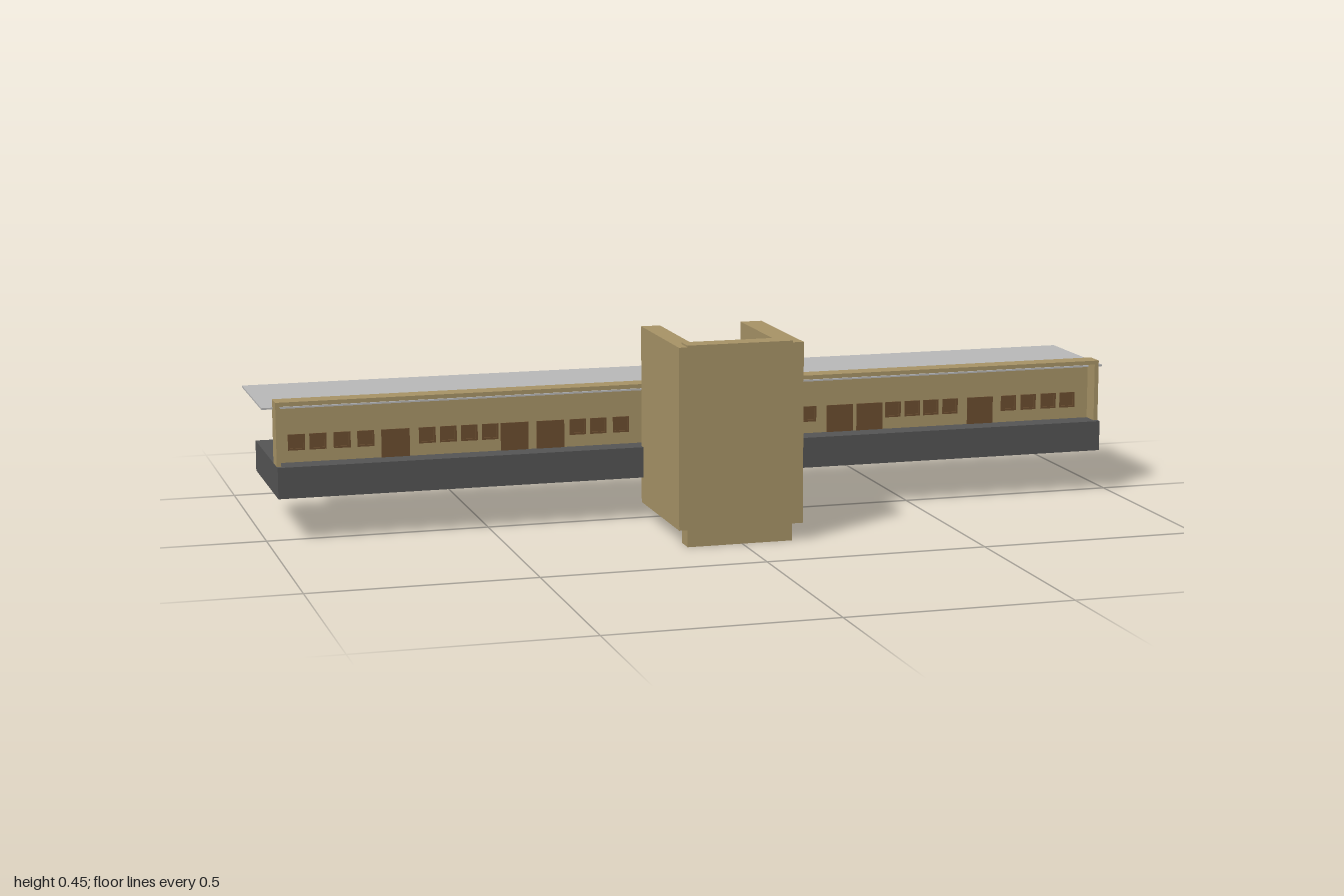
import * as THREE from 'three';

const mat = (name, color) => {
  const m = new THREE.MeshStandardMaterial({ color });
  m.name = name;
  return m;
};

export function createModel() {
  const tan = mat('tan wall', 0xa89467);
  const dark = mat('dark grey concrete', 0x555555);
  const light = mat('light grey roof', 0xbababa);
  const brown = mat('brown wood', 0x6b4e30);

  const model = new THREE.Group();
  model.name = 'stationBuilding';

  // Box given by its min and max corners
  const box = (parent, name, m, x0, x1, y0, y1, z0, z1) => {
    const mesh = new THREE.Mesh(new THREE.BoxGeometry(x1 - x0, y1 - y0, z1 - z0), m);
    mesh.position.set((x0 + x1) / 2, (y0 + y1) / 2, (z0 + z1) / 2);
    mesh.name = name;
    parent.add(mesh);
    return mesh;
  };
  const trace = (path, x0, x1, y0, y1) => {
    path.moveTo(x0, y0);
    path.lineTo(x1, y0);
    path.lineTo(x1, y1);
    path.lineTo(x0, y1);
    path.closePath();
    return path;
  };
  const slab = (parent, name, m, shape, z0, z1) => {
    const mesh = new THREE.Mesh(new THREE.ExtrudeGeometry(shape, { depth: z1 - z0, bevelEnabled: false }), m);
    mesh.position.z = z0;
    mesh.name = name;
    parent.add(mesh);
  };

  // Platform, entrance step block and roof
  box(model, 'platform', dark, -0.975, 0.975, 0.098, 0.168, -0.302, 0.025);
  box(model, 'entranceBlock', dark, -0.1, 0.09, 0.027, 0.098, -0.037, 0.103);
  box(model, 'platformRoof', light, -1, 1, 0.29, 0.294, -0.32, -0.025);
  box(model, 'entranceRoof', light, -0.1, 0.09, 0.29, 0.294, -0.025, 0.04);

  // Entrance tower, open at the top, bottom and back
  const tower = new THREE.Group();
  tower.name = 'entranceTower';
  model.add(tower);
  box(tower, 'towerLeftWall', tan, 0.09, 0.14, 0.038, 0.443, 0.01, 0.319);
  box(tower, 'towerRightWall', tan, -0.144, -0.1, 0.038, 0.443, 0.01, 0.319);
  box(tower, 'towerFrontWall', tan, -0.125, 0.115, 0, 0.447, 0.273, 0.32);

  // Wings: thin back wall with openings, framed by end walls and a cap
  const addWing = (name, x0, x1, windows, doors) => {
    const wing = new THREE.Group();
    wing.name = name;
    model.add(wing);
    const wall = trace(new THREE.Shape(), x0, x1, 0.168, 0.31);
    for (const x of windows) {
      const [a, b, c, d] = [x - 0.019, x + 0.019, 0.195, 0.231];
      wall.holes.push(trace(new THREE.Path(), a, b, c, d));
      // Frame and pane
      const frame = trace(new THREE.Shape(), a, b, c, d);
      frame.holes.push(trace(new THREE.Path(), a + 0.004, b - 0.004, c + 0.004, d - 0.004));
      slab(wing, 'windowFrame', brown, frame, -0.037, -0.027);
      const pane = new THREE.Mesh(new THREE.PlaneGeometry(b - a, d - c), brown);
      pane.position.set(x, (c + d) / 2, -0.031);
      pane.name = 'windowPane';
      wing.add(pane);
    }
    for (const x of doors) {
      box(wing, 'door', brown, x - 0.032, x + 0.032, 0.168, 0.231, -0.037, -0.027);
      const knob = new THREE.Mesh(new THREE.SphereGeometry(0.002, 8, 6), brown);
      knob.position.set(x + 0.02, 0.193, -0.0375);
      knob.name = 'doorKnob';
      wing.add(knob);
    }
    slab(wing, 'wingWall', tan, wall, -0.035, -0.029);
    box(wing, 'wallCap', tan, x0, x1, 0.302, 0.311, -0.035, 0.012);
    box(wing, 'endWall', tan, x0, x0 + 0.01, 0.168, 0.31, -0.035, 0.012);
    box(wing, 'endWall', tan, x1 - 0.01, x1, 0.168, 0.31, -0.035, 0.012);
  };
  addWing('rightWing', -0.975, -0.1,
    [-0.924, -0.876, -0.822, -0.769, -0.63, -0.582, -0.534, -0.486, -0.283, -0.235, -0.182],
    [-0.702, -0.43, -0.347]);
  addWing('leftWing', 0.09, 0.975,
    [0.168, 0.219, 0.267, 0.475, 0.523, 0.569, 0.617, 0.764, 0.814, 0.865, 0.913],
    [0.344, 0.417, 0.692]);

  return model;
}
